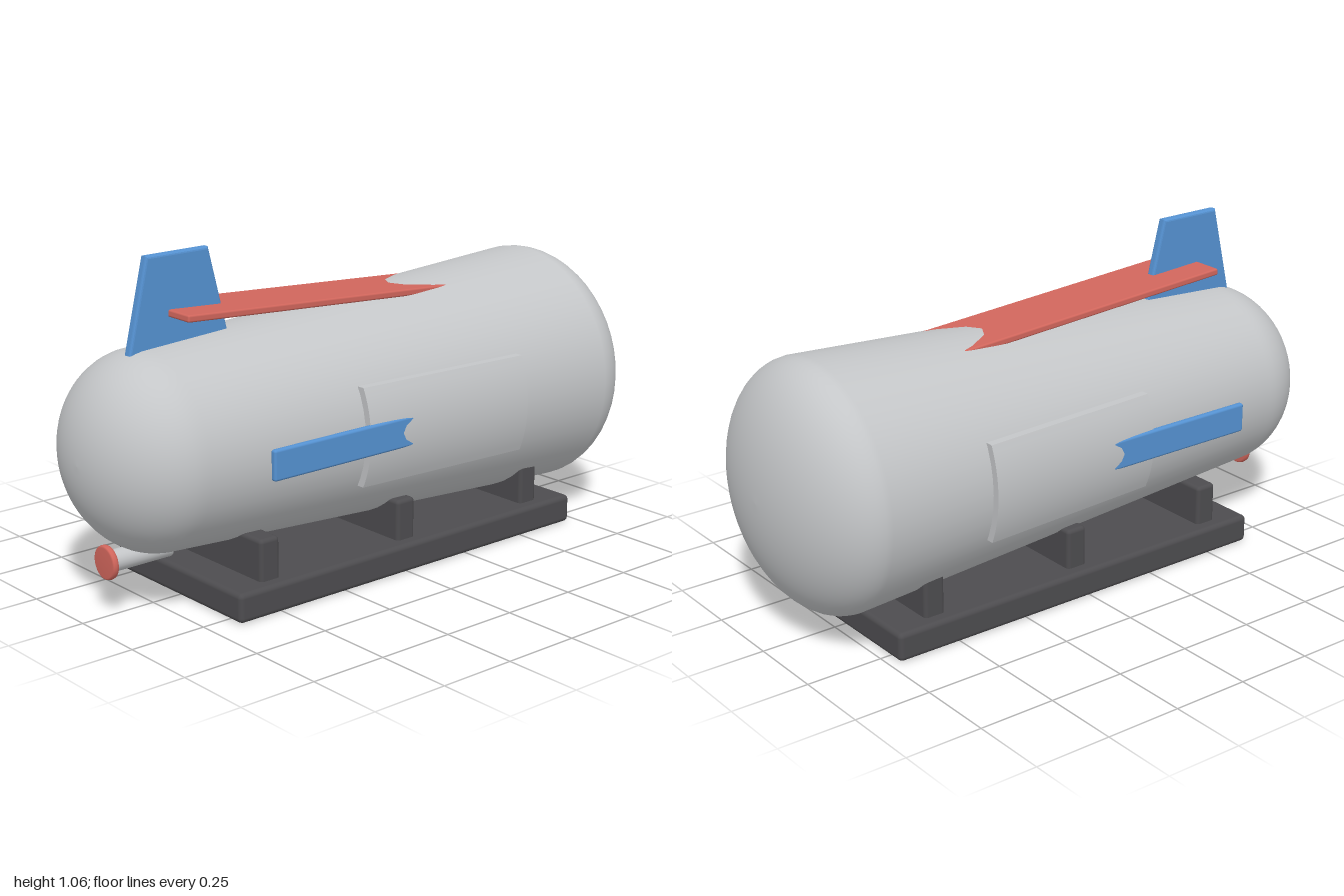
import * as THREE from 'three';
import { RoundedBoxGeometry } from 'three/addons/geometries/RoundedBoxGeometry.js';

const AXIS_Y = 0.479;
const FRONT = { z: 0.75, r: 0.306 };
const BACK = { z: -0.785, r: 0.394 };

// Radius of the tapered hull at a given z
const hullRadius = (z) => THREE.MathUtils.mapLinear(z, BACK.z, FRONT.z, BACK.r, FRONT.r);

const makeMaterial = (name, color) => {
  const m = new THREE.MeshStandardMaterial({ color });
  m.name = name;
  return m;
};

export function createModel() {
  const model = new THREE.Group();
  const grey = makeMaterial('light grey', 0xc4c6c8);
  const red = makeMaterial('red', 0xd1665c);
  const blue = makeMaterial('blue', 0x5592d2);
  const dark = makeMaterial('dark grey', 0x4d4c4f);

  const add = (name, geometry, material, x = 0, y = 0, z = 0) => {
    const mesh = new THREE.Mesh(geometry, material);
    mesh.name = name;
    mesh.position.set(x, y, z);
    model.add(mesh);
    return mesh;
  };
  const block = (w, h, d, r) => new RoundedBoxGeometry(w, h, d, 3, r);

  // Hull: tapered tube with a domed end at each side, turned about z
  const profile = [];
  const steps = 16;
  for (let i = 0; i <= steps; i++) {
    const a = (i / steps) * Math.PI / 2;
    profile.push(new THREE.Vector2(BACK.r * Math.sin(a), BACK.z - 0.215 * Math.cos(a)));
  }
  for (let i = 0; i <= steps; i++) {
    const a = (i / steps) * Math.PI / 2;
    profile.push(new THREE.Vector2(FRONT.r * Math.cos(a), FRONT.z + 0.25 * Math.sin(a)));
  }
  profile[0].x = profile[profile.length - 1].x = 0;
  add('hull', new THREE.LatheGeometry(profile, 48).rotateX(Math.PI / 2), grey, 0, AXIS_Y, 0);

  // Side panels: a slab bent to follow the hull, slightly proud of it
  const panel = new THREE.BoxGeometry(0.06, 0.31, 0.625, 1, 14, 4).translate(0, 0, -0.11);
  const p = panel.attributes.position;
  for (let i = 0; i < p.count; i++) {
    const r = hullRadius(p.getZ(i)) + 0.023;
    const outer = Math.sqrt(r * r - p.getY(i) ** 2);
    p.setX(i, p.getX(i) > 0 ? outer : outer - 0.06);
  }
  panel.computeVertexNormals();
  add('leftPanel', panel, grey, 0, AXIS_Y, 0);
  add('rightPanel', panel, grey, 0, AXIS_Y, 0).rotation.z = Math.PI;

  // Side fins: flat blades that sink into the panels
  for (const [name, s] of [['leftFin', 1], ['rightFin', -1]]) {
    add(name, block(0.021, 0.095, 0.67, 0.008), blue, s * 0.357, AXIS_Y, 0.237);
  }

  // Upright fin: bevelled trapezoid in the y-z plane
  const b = 0.008;
  const finShape = new THREE.Shape([
    new THREE.Vector2(0.831 - b, 0.72),
    new THREE.Vector2(0.752 - b, 1.056 - b),
    new THREE.Vector2(0.528 + b, 1.056 - b),
    new THREE.Vector2(0.445 + b, 0.72),
  ].reverse());
  const fin = new THREE.ExtrudeGeometry(finShape, {
    depth: 0.014, bevelEnabled: true, bevelSize: b, bevelThickness: b, bevelSegments: 3,
  });
  fin.translate(0, 0, -0.007).rotateY(-Math.PI / 2);
  add('uprightFin', fin, blue);

  // Top board: tilted plank whose rear end sinks into the hull
  const tilt = Math.atan(0.06);
  const board = add('topBoard', block(0.226, 0.022, 1.14, 0.006), red, 0, 0.8455, 0.11);
  board.rotation.x = -tilt;

  // Base and cradle blocks
  add('base', block(0.624, 0.092, 1.38, 0.016), dark, 0, 0.046, -0.03);
  for (const z of [0.515, -0.025, -0.565]) {
    add('cradleBlock', block(0.54, 0.18, 0.072, 0.013), dark, 0, 0.132, z);
  }

  // Drain pipe with a rounded cap below the nose
  add('drainPipe', new THREE.CylinderGeometry(0.033, 0.033, 0.215, 24).rotateX(Math.PI / 2),
    grey, 0, 0.167, 0.8);
  const cap = [[0, -0.011], [0.046, -0.011], [0.051, -0.008], [0.053, 0], [0.051, 0.008], [0.046, 0.011], [0, 0.011]]
    .map(([r, y]) => new THREE.Vector2(r, y));
  add('pipeCap', new THREE.LatheGeometry(cap, 32).rotateX(Math.PI / 2), red, 0, 0.167, 0.91);

  return model;
}
